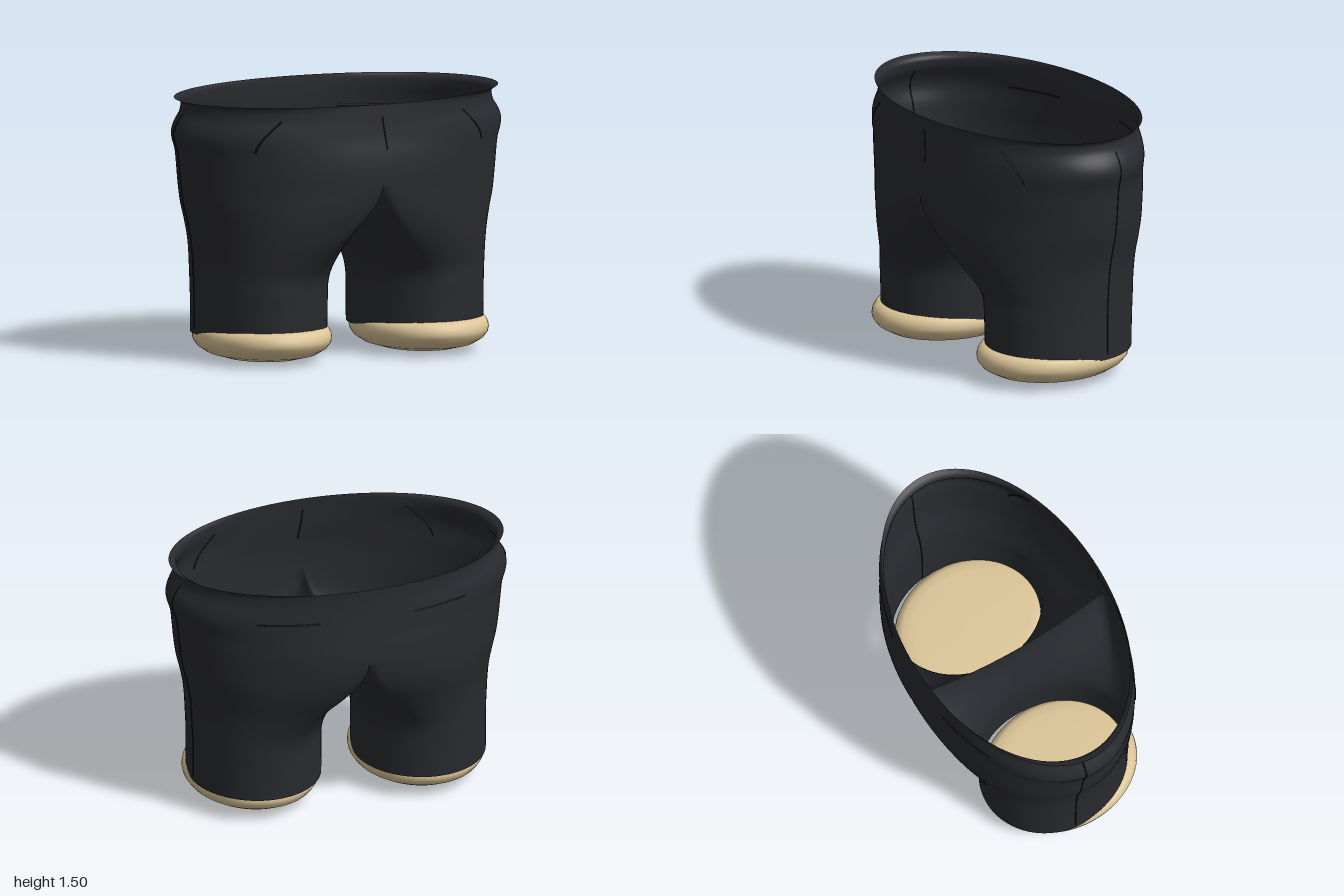
import * as THREE from 'three';
import { mergeGeometries, mergeVertices } from 'three/addons/utils/BufferGeometryUtils.js';

const { clamp, lerp, smoothstep } = THREE.MathUtils;
const CORNER = THREE.MathUtils.degToRad(105); // where the outer leg meets the inseam
const FORK = 1.05, SADDLE = 0.88, TOP = 1.5;

// Height, then half width, front depth and back depth
const profile = [
  [0.1, 0.87, 0.455, 0.415], [0.3, 0.87, 0.46, 0.42], [0.4, 0.87, 0.465, 0.425],
  [0.5, 0.875, 0.472, 0.435], [0.6, 0.88, 0.51, 0.465], [0.7, 0.89, 0.555, 0.51],
  [0.8, 0.91, 0.59, 0.565], [0.9, 0.935, 0.615, 0.605], [1.0, 0.95, 0.627, 0.625],
  [1.1, 0.96, 0.63, 0.627], [1.2, 0.972, 0.625, 0.617], [1.3, 0.998, 0.612, 0.607],
  [1.36, 0.98, 0.607, 0.603], [1.42, 0.942, 0.604, 0.6], [1.5, 0.935, 0.6, 0.6],
];
const sizes = new THREE.CubicInterpolant(profile.map(p => p[0]), profile.flatMap(p => p.slice(1)), 3);

// A point of the left half: s = 0..1 runs back, side, front (outer) or front to back (inseam)
function halfPoint(inner, s, y) {
  const [a, front, back] = sizes.evaluate(y);
  const width = a + 0.045 * clamp((y - 1.48) / 0.02, 0, 1);
  const theta = inner ? lerp(CORNER, 2 * Math.PI - CORNER, s) : lerp(-CORNER, CORNER, s);
  const depth = v => v * (v > 0 ? front : back);
  const start = inner ? lerp(SADDLE, FORK, (2 * s - 1) ** 2) : FORK;
  const w = smoothstep(start - y, 0, start - 0.4);
  const phi = (s - 0.5) * Math.PI;
  const dx = inner ? 0 : width * Math.cos(phi);
  const dz = inner ? lerp(front, -back, s) : depth(Math.sin(phi));
  const r = (width - 0.11) / 2;
  return new THREE.Vector3(
    lerp(dx, 0.11 + r + r * Math.cos(theta), w), y, lerp(dz, depth(Math.sin(theta)), w));
}

// Grid of points for one patch of the left half, mirrored on request
function patch(inner, mirror) {
  const cols = inner ? 28 : 56, pos = [], index = [];
  const upper = [TOP, 1.49, 1.48, 1.46];
  for (let i = 1; i <= 16; i++) upper.push(lerp(1.46, FORK, i / 16));
  const lowerRows = 34;
  const rows = lowerRows + (inner ? 1 : upper.length);
  for (let j = 0; j < rows; j++) {
    for (let i = 0; i <= cols; i++) {
      const s = i / cols;
      const start = inner ? lerp(SADDLE, FORK, (2 * s - 1) ** 2) : FORK;
      const hem = 0.15 + 0.05 * clamp((halfPoint(inner, s, 0.2).z + 0.02) / 0.46, 0, 1);
      const k = inner ? j : j - upper.length + 1;
      const y = k <= 0 ? (inner ? start : upper[j]) : lerp(start, hem, k / lowerRows);
      const p = halfPoint(inner, s, y);
      pos.push(mirror ? -p.x : p.x, p.y, p.z);
    }
  }
  for (let j = 0; j < rows - 1; j++) {
    for (let i = 0; i < cols; i++) {
      const a = j * (cols + 1) + i, b = a + 1, c = a + cols + 1, d = c + 1;
      if (mirror) index.push(a, c, b, b, c, d);
      else index.push(a, b, c, b, d, c);
    }
  }
  const g = new THREE.BufferGeometry();
  g.setAttribute('position', new THREE.Float32BufferAttribute(pos, 3));
  g.setIndex(index);
  return g;
}

// Thin stitched line laid on the outer cloth, from (s, y) to (s, y)
function seam(from, to, mirror, radius) {
  const pts = [];
  for (let i = 0; i <= 24; i++) {
    const t = i / 24;
    const p = halfPoint(false, lerp(from[0], to[0], t), lerp(from[1], to[1], t));
    if (mirror) p.x *= -1;
    pts.push(p);
  }
  return new THREE.TubeGeometry(new THREE.CatmullRomCurve3(pts), 48, radius, 6);
}

export function createModel() {
  const model = new THREE.Group();
  const cloth = new THREE.MeshStandardMaterial({ color: 0x292a2f, side: THREE.DoubleSide });
  const thread = new THREE.MeshStandardMaterial({ color: 0x17181b });
  const skin = new THREE.MeshStandardMaterial({ color: 0xdcc598 });
  const add = (name, geometry, material) => {
    const mesh = new THREE.Mesh(geometry, material);
    mesh.name = name;
    model.add(mesh);
    return mesh;
  };

  // Trousers: both halves welded so shading runs across the middle
  const trousers = mergeVertices(mergeGeometries(
    [patch(false, false), patch(true, false), patch(false, true), patch(true, true)]), 1e-4);
  trousers.computeVertexNormals();
  add('trousers', trousers, cloth);

  // Stitching: s = 0.5 is the side, 0 the back middle, 1 the front middle
  for (const mirror of [false, true]) {
    const side = mirror ? 'right' : 'left';
    add(side + 'SideSeam', seam([0.473, 1.41], [0.466, 0.18], mirror, 0.004), thread);
    add(side + 'FrontPocket', seam([0.793, 1.42], [0.742, 1.24], mirror, 0.005), thread);
    add(side + 'BackPocket', seam([0.09, 1.315], [0.215, 1.31], mirror, 0.005), thread);
  }
  add('fly', seam([0.998, 1.43], [0.99, 1.24], false, 0.004), thread);

  // Feet: rounded pads, longer towards the front
  const outline = [[0.28, 0.002], [0.55, 0.014], [0.8, 0.042], [0.93, 0.075], [0.985, 0.105],
    [1, 0.13], [0.99, 0.158], [0.955, 0.182], [0.89, 0.198], [0.75, 0.204], [0.4, 0.208]];
  const foot = new THREE.LatheGeometry(
    [[0, 0], ...outline, [0, 0.21]].map(([r, y]) => new THREE.Vector2(r, y)), 64);
  for (const sign of [1, -1]) {
    const mesh = add(sign > 0 ? 'leftFoot' : 'rightFoot', foot, skin);
    mesh.scale.set(0.383, 1, 0.46);
    mesh.position.set(sign * 0.493, 0, 0.058);
  }
  return model;
}
